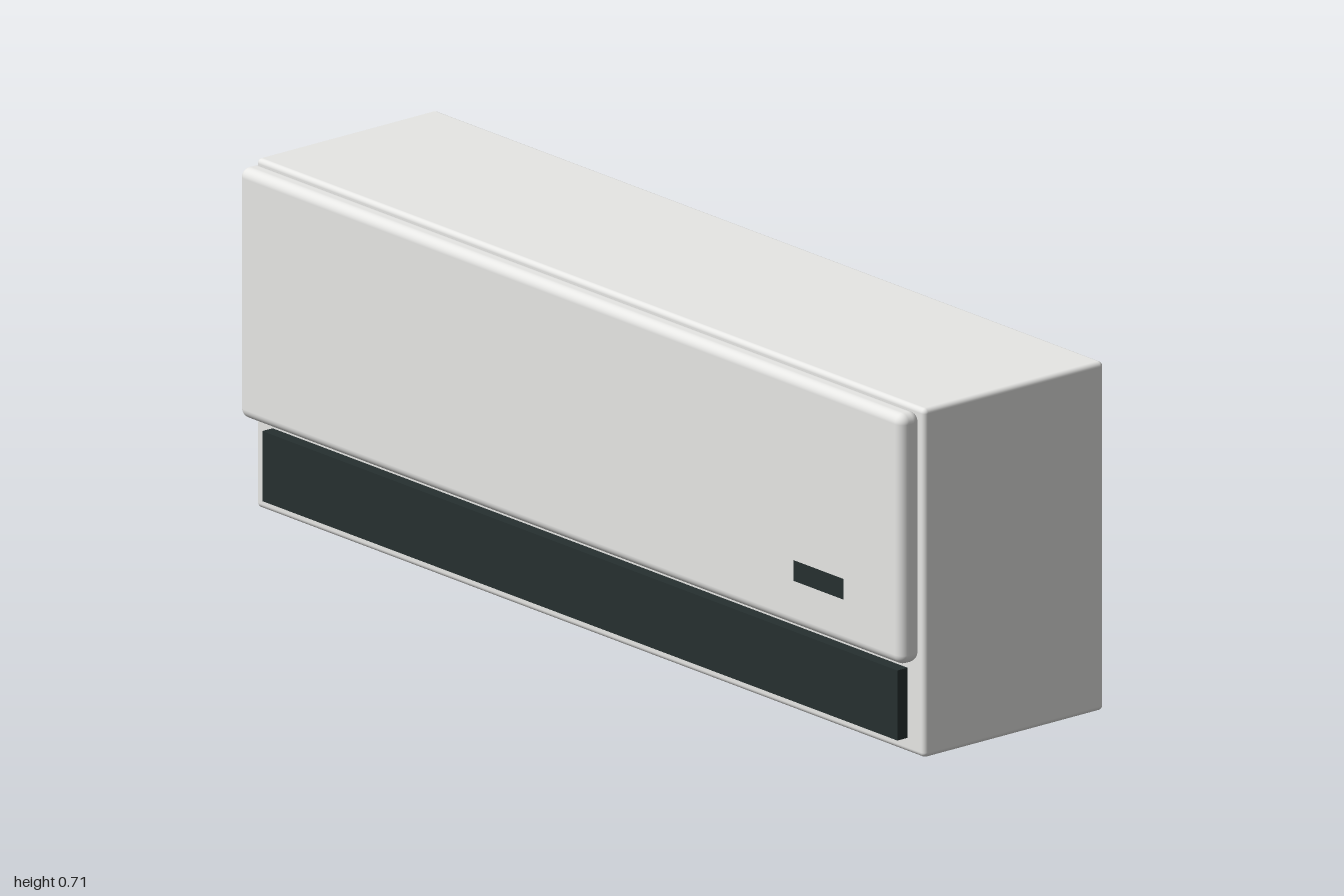
import * as THREE from 'three';
import { RoundedBoxGeometry } from 'three/addons/geometries/RoundedBoxGeometry.js';

export function createModel() {
  const group = new THREE.Group();
  const casing = new THREE.MeshStandardMaterial({ color: 0xeeeeec });
  casing.name = 'offWhiteCasing';
  const dark = new THREE.MeshStandardMaterial({ color: 0x263030 });
  dark.name = 'darkSlate';

  // Adds a box given by its lower and upper corners; a radius rounds its edges
  function addBox(name, material, [x0, y0, z0], [x1, y1, z1], radius = 0) {
    const size = [x1 - x0, y1 - y0, z1 - z0];
    const geometry = radius
      ? new RoundedBoxGeometry(...size, 4, radius)
      : new THREE.BoxGeometry(...size);
    const mesh = new THREE.Mesh(geometry, material);
    mesh.name = name;
    mesh.position.set((x0 + x1) / 2, (y0 + y1) / 2, (z0 + z1) / 2);
    group.add(mesh);
  }

  // Main housing
  addBox('housing', casing, [-1, 0, -0.254], [1, 0.712, 0.202], 0.01);
  // Raised front cover, a hair clear of the housing
  addBox('frontPanel', casing, [-0.993, 0.196, 0.203], [0.993, 0.707, 0.254], 0.02);
  // Air outlet below the cover
  addBox('airOutlet', dark, [-0.95, 0.03, 0.18], [0.95, 0.173, 0.228]);
  // Small display plate on the cover
  addBox('display', dark, [0.67, 0.29, 0.25], [0.82, 0.332, 0.2545]);

  return group;
}
